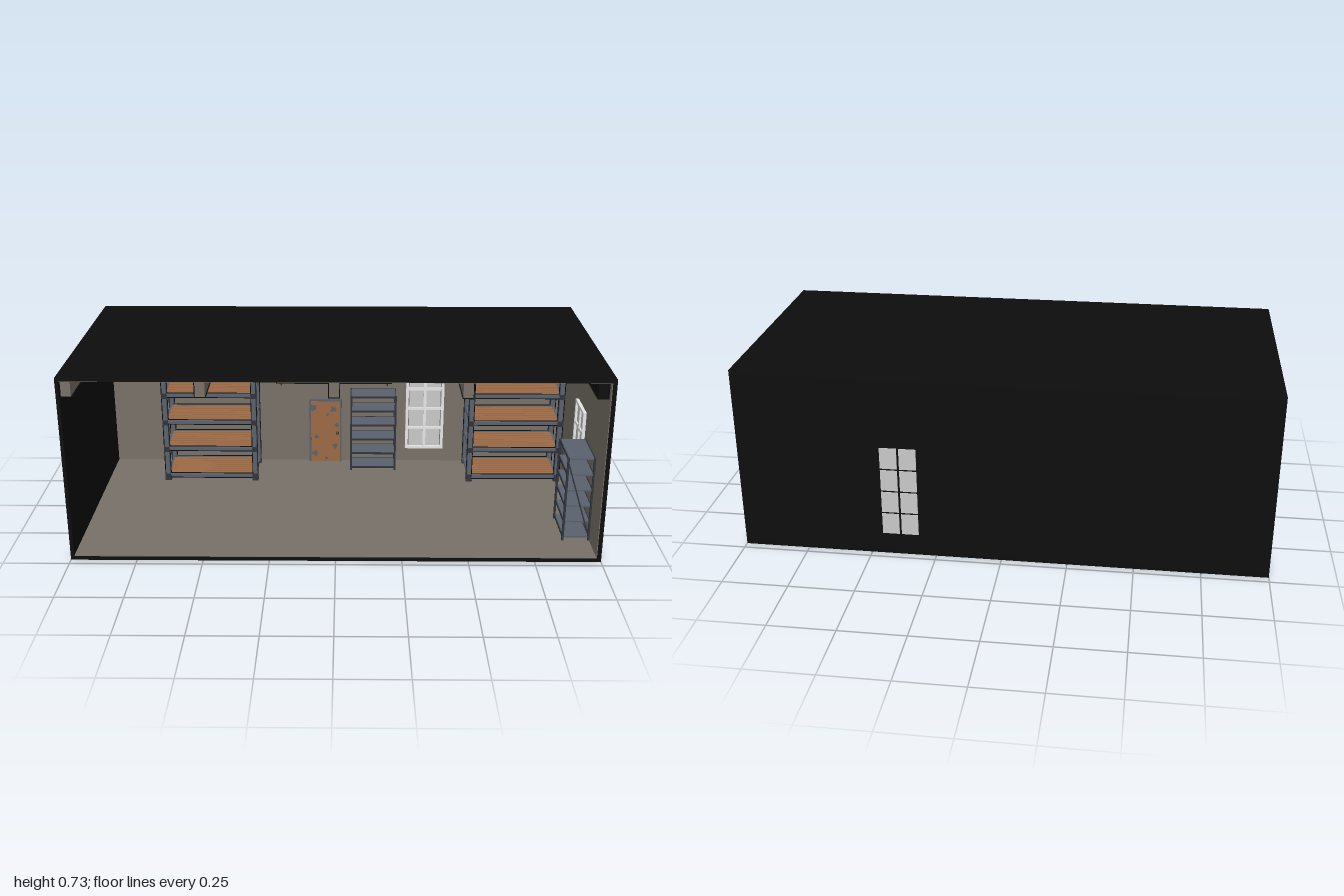
import * as THREE from 'three';

const mat = (name, color) => {
  const m = new THREE.MeshStandardMaterial({ color });
  m.name = name;
  return m;
};

export function createModel() {
  const black = mat('shell black', 0x0d0d0d);
  const taupe = mat('plaster taupe', 0x787168);
  const wood = mat('wood', 0x9c6a45);
  const metal = mat('blue grey metal', 0x5a616d);
  const dark = mat('dark metal', 0x30343c);
  const white = mat('window white', 0xf4f4f4);
  const glass = mat('pane grey', 0xcacaca);

  const root = new THREE.Group();
  root.name = 'storageRoom';

  const group = (name, parent = root) => {
    const g = new THREE.Group();
    g.name = name;
    parent.add(g);
    return g;
  };
  // box given by its minimum and maximum on each axis
  const box = (parent, name, m, x0, x1, y0, y1, z0, z1) => {
    const mesh = new THREE.Mesh(new THREE.BoxGeometry(x1 - x0, y1 - y0, z1 - z0), m);
    mesh.position.set((x0 + x1) / 2, (y0 + y1) / 2, (z0 + z1) / 2);
    mesh.name = name;
    parent.add(mesh);
    return mesh;
  };
  // box with an inside-out black hull that draws its contour
  const inked = (parent, name, m, x0, x1, y0, y1, z0, z1, e = 0.003) => {
    const mesh = box(parent, name, m, x0, x1, y0, y1, z0, z1);
    const hull = new THREE.BoxGeometry(x1 - x0 + 2 * e, y1 - y0 + 2 * e, z1 - z0 + 2 * e);
    hull.index.array.reverse();
    const outline = new THREE.Mesh(hull, black);
    outline.name = name + 'Outline';
    mesh.add(outline);
    return mesh;
  };
  // straight bar between two points
  const bar = (parent, name, m, a, b, t) => {
    const p = new THREE.Vector3(...a), q = new THREE.Vector3(...b);
    const mesh = new THREE.Mesh(new THREE.BoxGeometry(t, t, p.distanceTo(q)), m);
    mesh.position.copy(p).lerp(q, 0.5);
    mesh.lookAt(q);
    mesh.name = name;
    parent.add(mesh);
  };

  // outer shell, open at the front
  const shell = group('shell');
  box(shell, 'floorSlab', black, -1, 1, 0, 0.013, -0.47, 0.47);
  box(shell, 'roof', black, -1, 1, 0.714, 0.727, -0.47, 0.47);
  box(shell, 'backWall', black, -1, 1, 0.013, 0.714, -0.47, -0.457);
  box(shell, 'rightWall', black, -1, -0.987, 0.013, 0.714, -0.457, 0.47);
  box(shell, 'leftWall', black, 0.985, 1, 0.013, 0.714, -0.457, 0.47);

  // plaster lining
  const lining = group('lining');
  box(lining, 'floor', taupe, -0.987, 0.985, 0.013, 0.016, -0.457, 0.466);
  box(lining, 'ceiling', taupe, -0.987, 0.985, 0.711, 0.714, -0.457, 0.466);
  box(lining, 'backPlaster', taupe, -0.987, 0.985, 0.016, 0.711, -0.457, -0.454);
  box(lining, 'leftPlaster', taupe, 0.982, 0.985, 0.016, 0.711, -0.454, 0.466);

  // ceiling beams
  const beams = group('ceilingBeams');
  for (let i = 0; i < 5; i++) {
    const x = -0.965 + i * 0.48;
    inked(beams, 'beam', i < 4 ? taupe : black, x - 0.018, x + 0.018, 0.655, 0.711, -0.454, 0.462);
  }

  // window: white frame indoors, grey panes on both faces of the wall, built around z = 0
  const addWindow = (name) => {
    const g = group(name);
    const w = 0.078, y0 = 0.08, y1 = 0.457;
    for (const s of [-1, 1])
      box(g, 'jamb', white, s * w - 0.006, s * w + 0.006, y0, y1, 0, 0.014);
    box(g, 'mullion', white, -0.006, 0.006, y0, y1, 0, 0.012);
    for (let i = 0; i < 5; i++) {
      const y = y0 + 0.006 + i * 0.0913;
      box(g, 'glazingBar', white, -w, w, y - 0.006, y + 0.006, 0, i % 4 ? 0.011 : 0.014);
    }
    for (let r = 0; r < 4; r++) for (const s of [-1, 1]) {
      const cx = s * 0.0365, y = 0.087 + r * 0.0915;
      box(g, 'innerPane', glass, cx - 0.032, cx + 0.032, y, y + 0.083, 0, 0.005);
      box(g, 'outerPane', glass, cx - 0.0325, cx + 0.0325, y, y + 0.085, -0.0185, -0.0145);
    }
    return g;
  };
  addWindow('backWindow').position.set(0.385, 0, -0.454);
  const side = addWindow('sideWindow');
  side.position.set(0.9835, 0, 0.012);
  side.rotation.y = -Math.PI / 2;

  // pallet racks with plank decks
  const rack = (x0) => {
    const g = group('palletRack');
    const x1 = x0 + 0.395, z0 = -0.44, z1 = -0.23, t = 0.018;
    for (const x of [x0, x1 - t]) for (const z of [z0, z1 - t]) {
      inked(g, 'post', metal, x, x + t, 0.016, 0.535, z, z + t);
      box(g, 'foot', dark, x - 0.004, x + t + 0.004, 0.016, 0.022, z - 0.004, z + t + 0.004);
    }
    for (const y of [0.035, 0.16, 0.282, 0.403, 0.525]) {
      for (const z of [z0 + 0.003, z1 - 0.015])
        inked(g, 'longBeam', metal, x0 + t, x1 - t, y - 0.006, y + 0.006, z, z + 0.012);
      for (const x of [x0 + 0.003, x1 - 0.015]) {
        box(g, 'crossBeam', metal, x, x + 0.012, y - 0.006, y + 0.006, z0 + t, z1 - t);
        for (const z of [z0 - 0.004, z1])
          box(g, 'clip', dark, x - 0.006, x + 0.018, y - 0.011, y + 0.011, z, z + 0.004);
      }
      for (let i = 0; i < 8; i++) {
        const z = z0 + 0.018 + i * 0.0219;
        box(g, 'plank', wood, x0 + 0.014, x1 - 0.014, y + 0.001, y + 0.007, z, z + 0.018);
      }
    }
  };
  rack(-0.74);
  rack(0.56);

  // small steel shelving, centred on its own origin
  const shelving = (name) => {
    const g = group(name);
    const w = 0.096, d = 0.05;
    for (const x of [-w, w]) {
      for (const z of [-d, d])
        box(g, 'post', dark, x - 0.004, x + 0.004, 0.016, 0.362, z - 0.004, z + 0.004);
      bar(g, 'brace', dark, [x, 0.03, -d], [x, 0.345, d], 0.005);
    }
    for (let i = 0; i < 6; i++) {
      const y = 0.03 + i * 0.0655;
      box(g, 'shelf', metal, -w, w, y - 0.003, y + 0.003, -d, d);
      for (const z of [-d, d])
        box(g, 'shelfLip', dark, -w, w, y - 0.004, y + 0.004, z - 0.002, z + 0.002);
    }
    return g;
  };
  shelving('backShelving').position.set(0.156, 0, -0.395);
  const sideShelving = shelving('sideShelving');
  sideShelving.position.set(0.929, 0, 0.225);
  sideShelving.rotation.y = -Math.PI / 2;

  // door with worn paint
  const door = group('door');
  inked(door, 'doorLeaf', wood, -0.118, 0.01, 0.016, 0.302, -0.454, -0.442);
  for (const x of [-0.126, 0.01])
    box(door, 'doorJamb', metal, x, x + 0.008, 0.016, 0.312, -0.454, -0.438);
  box(door, 'doorHead', metal, -0.126, 0.018, 0.304, 0.312, -0.454, -0.438);
  const patches = [[-0.108, 0.272, 0.02], [-0.02, 0.265, 0.017], [-0.095, 0.135, 0.012],
    [-0.004, 0.19, 0.013], [-0.1, 0.055, 0.018], [-0.01, 0.09, 0.016], [-0.045, 0.24, 0.009], [-0.05, 0.03, 0.01]];
  patches.forEach(([x, y, r], k) => {
    const s = new THREE.Shape();
    for (let i = 0; i < 9; i++) {
      const a = (i / 9) * Math.PI * 2, q = r * (0.75 + 0.25 * Math.sin(i * 2.3 + k));
      s[i ? 'lineTo' : 'moveTo'](
        THREE.MathUtils.clamp(x + q * Math.cos(a), -0.117, 0.009), Math.max(0.017, y + q * Math.sin(a)));
    }
    const m = new THREE.Mesh(new THREE.ShapeGeometry(s), metal);
    m.position.z = -0.4405;
    m.name = 'wornPatch';
    door.add(m);
  });
  const knob = new THREE.Mesh(new THREE.SphereGeometry(0.007, 12, 8), dark);
  knob.position.set(0, 0.155, -0.434);
  knob.name = 'knob';
  door.add(knob);

  // wall shelf above the door
  const wall = group('wallShelf');
  inked(wall, 'backBoard', wood, -0.262, 0.232, 0.391, 0.426, -0.454, -0.444);
  inked(wall, 'shelfBoard', wood, -0.262, 0.232, 0.412, 0.426, -0.444, -0.375);
  for (const x of [-0.245, 0.215])
    box(wall, 'bracket', dark, x - 0.003, x + 0.003, 0.394, 0.412, -0.444, -0.39);

  return root;
}
